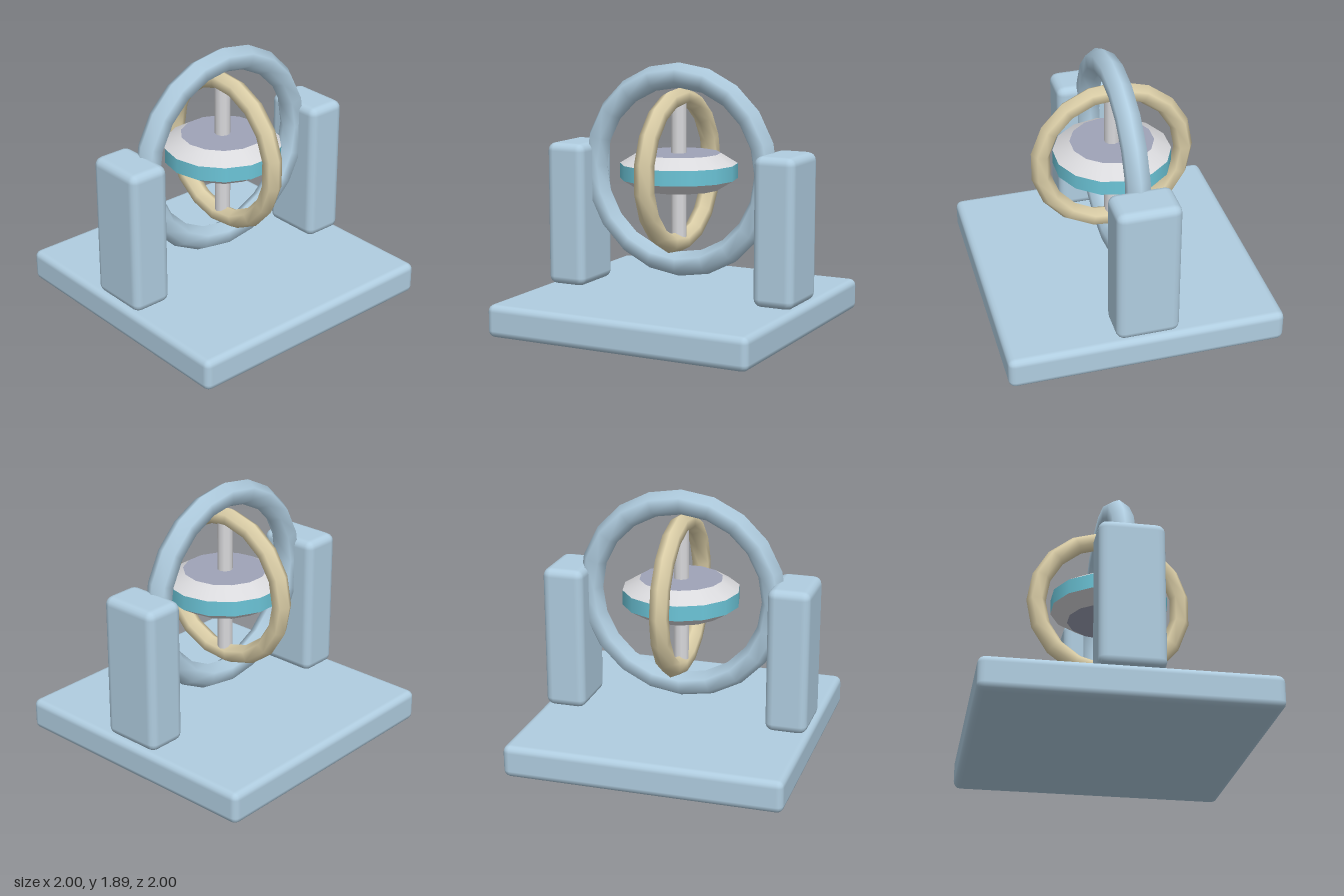
import * as THREE from 'three';
import { RoundedBoxGeometry } from 'three/addons/geometries/RoundedBoxGeometry.js';

const CENTRE_Y = 1.12;

function material(name, color) {
  const m = new THREE.MeshStandardMaterial({ color });
  m.name = name;
  return m;
}

export function createModel() {
  const blue = material('paleBlue', 0xb0cde0);
  const gold = material('paleGold', 0xdccfa8);
  const teal = material('teal', 0x6cc5d8);
  const silver = material('silver', 0xd9d9dc);
  const slate = material('slate', 0x9fa3b8);

  const model = new THREE.Group();
  model.name = 'gyroscope';

  function add(parent, name, geometry, mat, x = 0, y = 0, z = 0) {
    const mesh = new THREE.Mesh(geometry, mat);
    mesh.name = name;
    mesh.position.set(x, y, z);
    parent.add(mesh);
    return mesh;
  }

  // Base slab and the two supports
  add(model, 'base', new RoundedBoxGeometry(2, 0.235, 2, 2, 0.05), blue, 0, 0.1175, 0);
  for (const [name, side] of [['leftSupport', 1], ['rightSupport', -1]]) {
    add(model, name, new RoundedBoxGeometry(0.305, 1.055, 0.456, 2, 0.06), blue, side * 0.828, 0.762, 0);
  }

  // Two crossed gimbal rings with six-sided tubes
  add(model, 'outerRing', new THREE.TorusGeometry(0.682, 0.09, 6, 20), blue, 0, CENTRE_Y, 0);
  const inner = add(model, 'innerRing', new THREE.TorusGeometry(0.528, 0.07, 6, 17), gold, 0, CENTRE_Y, 0);
  inner.rotation.y = Math.PI / 2;

  // Spinning disc: teal rim, silver bevels, slate caps
  const rotor = new THREE.Group();
  rotor.name = 'rotor';
  rotor.position.y = CENTRE_Y;
  rotor.rotation.y = Math.PI / 2;
  model.add(rotor);

  const sides = 14, rim = 0.422, cap = 0.3, rimHalf = 0.054, half = 0.128;
  const bevel = half - rimHalf;
  add(rotor, 'rim', new THREE.CylinderGeometry(rim, rim, rimHalf * 2, sides, 1, true), teal);
  add(rotor, 'upperBevel', new THREE.CylinderGeometry(cap, rim, bevel, sides, 1, true), silver, 0, rimHalf + bevel / 2);
  add(rotor, 'lowerBevel', new THREE.CylinderGeometry(rim, cap, bevel, sides, 1, true), silver, 0, -rimHalf - bevel / 2);
  for (const [name, side] of [['upperCap', 1], ['lowerCap', -1]]) {
    const disc = new THREE.CircleGeometry(cap, sides);
    disc.rotateZ(Math.PI / 2);
    disc.rotateX(-side * Math.PI / 2);
    add(rotor, name, disc, slate, 0, side * half);
  }

  // Vertical axle joining the inner ring
  add(rotor, 'axle', new THREE.CylinderGeometry(0.056, 0.056, 1.02, 10), silver);

  return model;
}
